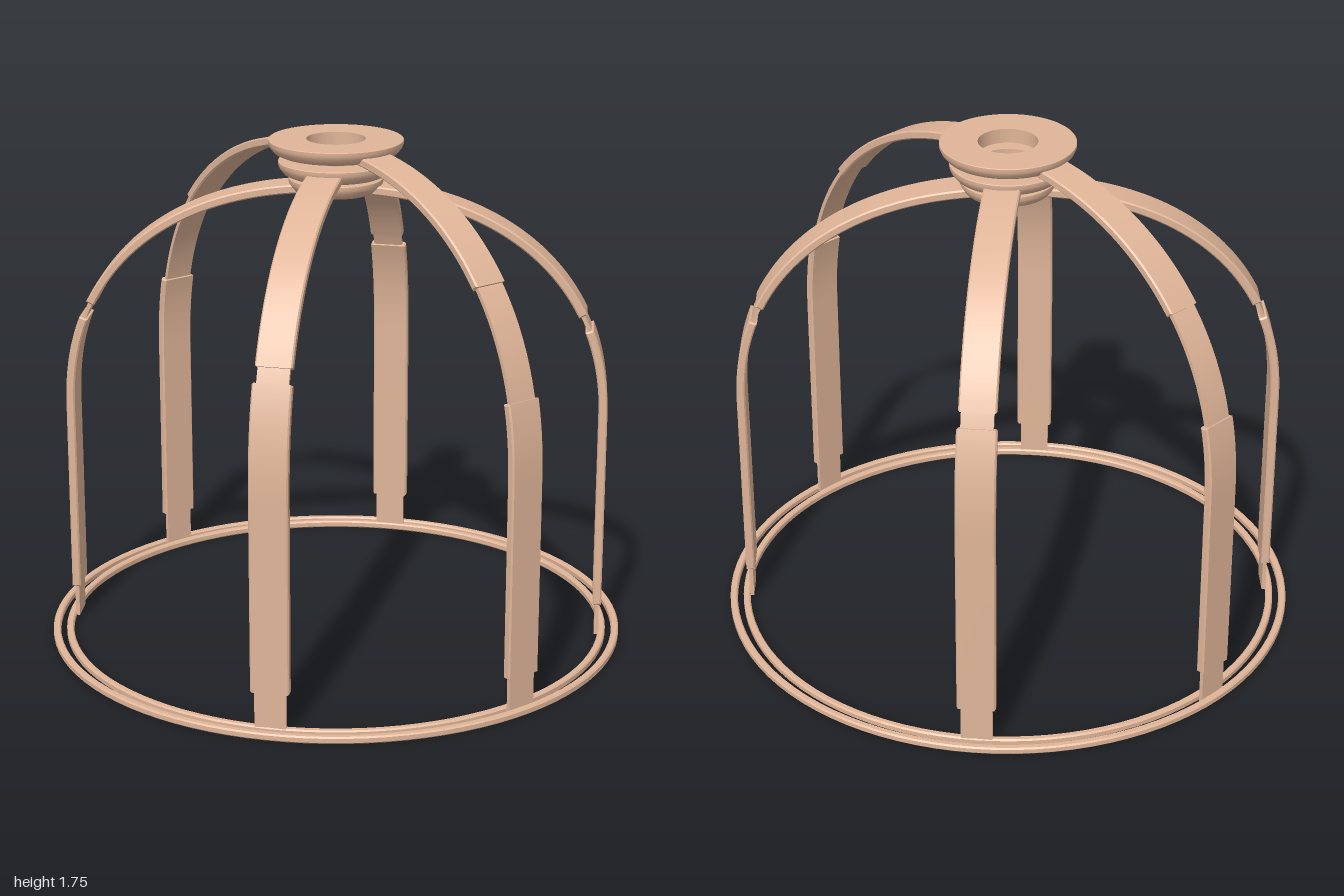
import * as THREE from 'three';
import { toCreasedNormals } from 'three/addons/utils/BufferGeometryUtils.js';

const material = new THREE.MeshStandardMaterial({ color: 0xe0b598 });
const SPRING = 0.8; // height at which the ribs start to curve
const POWER = 2.25; // fullness of the arch curve

function addMesh(parent, name, geometry) {
  const mesh = new THREE.Mesh(toCreasedNormals(geometry, 0.5), material);
  mesh.name = name;
  parent.add(mesh);
  return mesh;
}

// Point on the rib centre line: straight below the spring line, curved above
function ribPoint(arch, t) {
  if (t < 0) return new THREE.Vector2(arch.radius, SPRING + t);
  return new THREE.Vector2(
    arch.radius * Math.pow(Math.cos(t), 2 / POWER),
    SPRING + arch.rise * Math.pow(Math.sin(t), 2 / POWER)
  );
}

// Curve parameter at a given height, or at a given distance from the axis
const atHeight = (arch, y) =>
  y < SPRING ? y - SPRING : Math.asin(Math.pow((y - SPRING) / arch.rise, POWER / 2));
const atRadius = (arch, r) => Math.acos(Math.pow(r / arch.radius, POWER / 2));

// Curved bar following the centre line between two parameters
function barGeometry(arch, t0, t1, width, thickness, bevel) {
  const path = [];
  if (t0 < 0) path.push(ribPoint(arch, t0));
  const start = Math.max(t0, 0);
  const steps = 28;
  for (let i = 0; i <= steps; i++) path.push(ribPoint(arch, start + ((t1 - start) * i) / steps));
  const half = thickness / 2 - bevel;
  const outer = [];
  const inner = [];
  path.forEach((p, i) => {
    const a = path[Math.max(i - 1, 0)];
    const b = path[Math.min(i + 1, path.length - 1)];
    const d = b.clone().sub(a).normalize();
    outer.push(new THREE.Vector2(p.x + d.y * half, p.y - d.x * half));
    inner.push(new THREE.Vector2(p.x - d.y * half, p.y + d.x * half));
  });
  const depth = width - 2 * bevel;
  const geometry = new THREE.ExtrudeGeometry(new THREE.Shape([...outer, ...inner.reverse()]), {
    depth,
    bevelEnabled: bevel > 0,
    bevelSize: bevel,
    bevelThickness: bevel,
    bevelSegments: 1,
  });
  return geometry.translate(0, 0, -depth / 2);
}

function ringGeometry(points) {
  const profile = points.map(([r, y]) => new THREE.Vector2(r, y));
  return new THREE.LatheGeometry([...profile, profile[0].clone()], 96);
}

// One rib: a thin strip with a lower and an upper sleeve around it
function makeRib(arch, angle) {
  const rib = new THREE.Group();
  rib.name = arch.name + 'Rib';
  const end = atRadius(arch, arch.ring - 0.045);
  addMesh(rib, 'innerStrip', barGeometry(arch, 0.01 - SPRING, end, 0.105, 0.014, 0));
  addMesh(rib, 'lowerSleeve',
    barGeometry(arch, arch.sleeveFoot - SPRING, atHeight(arch, arch.gap[0]), 0.13, 0.03, 0.005));
  addMesh(rib, 'upperSleeve', barGeometry(arch, atHeight(arch, arch.gap[1]), end, 0.122, 0.03, 0.005));
  rib.rotation.y = -angle;
  return rib;
}

export function createModel() {
  const model = new THREE.Group();
  model.name = 'ribbedDomeFrame';

  // Twin base rings
  for (const [name, r0, r1] of [['outerBaseRing', 0.974, 1], ['innerBaseRing', 0.928, 0.953]]) {
    addMesh(model, name, ringGeometry([
      [r0, 0.005], [r0 + 0.005, 0], [r1 - 0.005, 0], [r1, 0.005],
      [r1, 0.02], [r1 - 0.005, 0.025], [r0 + 0.005, 0.025], [r0, 0.02],
    ]));
  }

  // Three nested arches, each with two opposite ribs and a crown ring
  const arches = [
    { name: 'low', angle: 18.5, radius: 0.921, rise: 0.795, ring: 0.16, ringY: 1.574, sleeveFoot: 0.13, gap: [1.115, 1.175] },
    { name: 'middle', angle: 116, radius: 0.942, rise: 0.86, ring: 0.195, ringY: 1.632, sleeveFoot: 0.15, gap: [1.16, 1.215] },
    { name: 'high', angle: 64.5, radius: 0.968, rise: 0.93, ring: 0.228, ringY: 1.705, sleeveFoot: 0.14, gap: [1.065, 1.415] },
  ];
  for (const arch of arches) {
    const angle = THREE.MathUtils.degToRad(arch.angle);
    model.add(makeRib(arch, angle), makeRib(arch, angle + Math.PI));
    const r = arch.ring;
    const y = arch.ringY;
    addMesh(model, arch.name + 'CrownRing', ringGeometry([
      [0.1, y], [r - 0.035, y], [r - 0.018, y + 0.008], [r - 0.005, y + 0.024],
      [r, y + 0.036], [r, y + 0.048], [r - 0.003, y + 0.05], [0.1, y + 0.05],
    ]));
  }
  return model;
}
